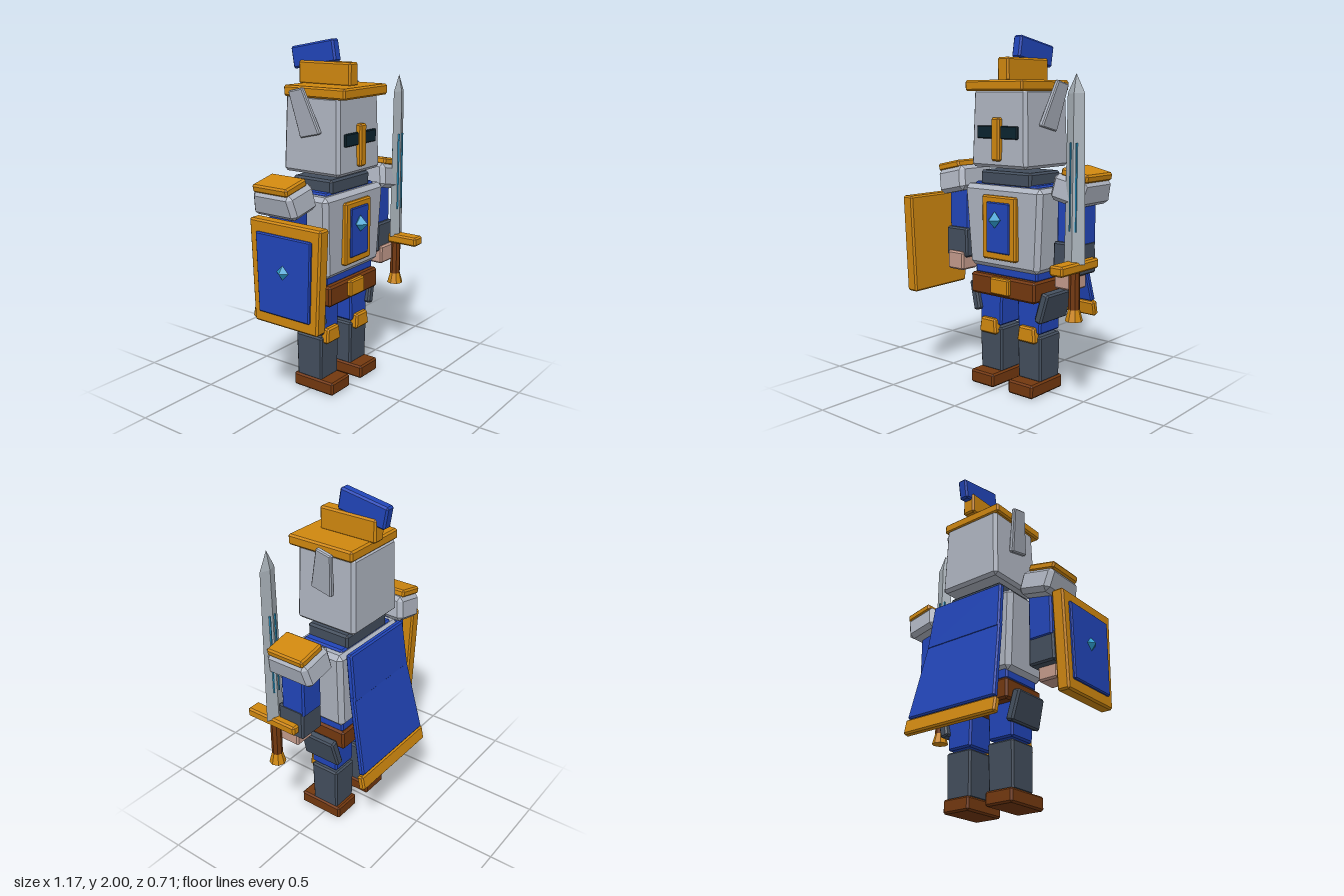
import * as THREE from 'three';
import { ConvexGeometry } from 'three/addons/geometries/ConvexGeometry.js';

const mat = (name, color) => new THREE.MeshStandardMaterial({ name, color });

// Box with chamfered edges; the top may be scaled by tx, tz to taper it.
function chamferBox([w, h, d], bevel, tx, tz) {
  const pts = [];
  for (const x of [-1, 1]) for (const y of [-1, 1]) for (const z of [-1, 1]) {
    const kx = y > 0 ? tx : 1, kz = y > 0 ? tz : 1;
    const cx = w / 2 * kx, cy = h / 2, cz = d / 2 * kz;
    const b = Math.min(bevel, cx * 0.45, cy * 0.45, cz * 0.45);
    pts.push(
      new THREE.Vector3(x * cx, y * (cy - b), z * (cz - b)),
      new THREE.Vector3(x * (cx - b), y * cy, z * (cz - b)),
      new THREE.Vector3(x * (cx - b), y * (cy - b), z * cz));
  }
  return new ConvexGeometry(pts);
}

export function createModel() {
  const gold = mat('gold', 0xcf870f);
  const blue = mat('royal blue', 0x2145b8);
  const steel = mat('steel', 0xaeb4c0);
  const dark = mat('dark iron', 0x434e5d);
  const brown = mat('brown leather', 0x73380f);
  const skin = mat('skin', 0xc39a8b);
  const gem = mat('gem blue', 0x2f9fd0);
  const black = mat('visor black', 0x0b2430);
  const bladeSteel = mat('blade steel', 0xaab3ba);

  const model = new THREE.Group();
  model.name = 'knight';
  const body = new THREE.Group();
  body.name = 'body';
  body.position.x = 0.037;
  model.add(body);

  const addMesh = (parent, name, geo, m, pos, rot = [0, 0, 0]) => {
    const mesh = new THREE.Mesh(geo, m);
    mesh.name = name;
    mesh.position.set(...pos);
    mesh.rotation.set(...rot);
    parent.add(mesh);
    return mesh;
  };
  const box = (parent, name, m, size, pos, { rot, bevel = 0.01, tx = 1, tz = 1 } = {}) =>
    addMesh(parent, name, chamferBox(size, bevel, tx, tz), m, pos, rot);
  const jewel = (parent, name, pos, scale) => {
    const g = new THREE.OctahedronGeometry(1);
    g.scale(...scale);
    return addMesh(parent, name, g, gem, pos);
  };

  // Torso
  box(body, 'tunic', blue, [0.455, 0.53, 0.265], [0, 0.92, -0.01]);
  box(body, 'breastplate', steel, [0.505, 0.47, 0.31], [0, 0.938, -0.005], { bevel: 0.025, tx: 1.11, tz: 1.07 });
  box(body, 'chestFrame', gold, [0.245, 0.36, 0.04], [0, 0.94, 0.162]);
  box(body, 'chestPanel', blue, [0.168, 0.285, 0.025], [0, 0.943, 0.178], { bevel: 0.006 });
  jewel(body, 'chestGem', [-0.01, 0.99, 0.2], [0.043, 0.047, 0.05]);
  box(body, 'belt', brown, [0.47, 0.12, 0.31], [0, 0.6, 0], { bevel: 0.012 });
  box(body, 'buckle', gold, [0.135, 0.095, 0.035], [0, 0.608, 0.162]);
  box(body, 'neckGuard', dark, [0.365, 0.085, 0.27], [0, 1.21, -0.01], { bevel: 0.012 });

  // Helmet
  box(body, 'helmet', steel, [0.4, 0.43, 0.385], [0, 1.49, -0.008], { bevel: 0.018, tx: 0.94, tz: 0.95 });
  box(body, 'visorSlit', black, [0.29, 0.07, 0.03], [0, 1.47, 0.178], { bevel: 0.005 });
  box(body, 'noseGuard', gold, [0.058, 0.235, 0.04], [0, 1.432, 0.19]);
  box(body, 'helmetBrim', gold, [0.41, 0.06, 0.415], [0, 1.722, 0.018]);
  box(body, 'crest', gold, [0.08, 0.13, 0.357], [0, 1.81, -0.036]);
  box(body, 'plume', blue, [0.06, 0.125, 0.3], [0, 1.912, -0.122], { rot: [-0.175, 0, 0] });

  for (const s of [-1, 1]) {
    const side = s > 0 ? 'left' : 'right';
    const part = (name, m, size, [x, y, z], opts = {}) => {
      const [rx, ry, rz] = opts.rot || [0, 0, 0];
      return box(body, side + name, m, size, [s * x, y, z], { ...opts, rot: [rx, s * ry, s * rz] });
    };
    // Helmet fin
    part('HelmetFin', steel, [0.032, 0.265, 0.137], [0.229, 1.615, -0.028], { rot: [-0.23, 0, -0.2], tx: 0.85, tz: 0.72 });
    // Arm
    part('Pauldron', steel, [0.205, 0.145, 0.295], [0.423, 1.177, -0.01], { rot: [0, 0, -0.21], bevel: 0.025, tz: 0.9, tx: 1.04 });
    part('PauldronCap', gold, [0.172, 0.045, 0.237], [0.457, 1.258, -0.012], { rot: [0, 0, -0.21] });
    part('UpperArm', blue, [0.152, 0.27, 0.153], [0.401, 1.0, 0]);
    part('Forearm', dark, [0.168, 0.175, 0.17], [0.4, 0.808, 0.015], { tx: 0.95 });
    part('Hand', skin, [0.125, 0.11, 0.13], [0.4, 0.698, 0.05]);
    // Leg
    part('Thigh', blue, [0.16, 0.25, 0.18], [0.143, 0.475, -0.003], { tx: 1.1 });
    part('HipPlate', dark, [0.05, 0.175, 0.245], [0.247, 0.51, -0.005], { rot: [0, 0, -0.26], tz: 0.93 });
    part('Shin', dark, [0.162, 0.265, 0.175], [0.143, 0.205, -0.005], { tx: 1.05, tz: 1.05 });
    part('Knee', gold, [0.128, 0.09, 0.055], [0.143, 0.345, 0.09], { tx: 0.86, tz: 0.9 });
    part('Boot', brown, [0.175, 0.078, 0.281], [0.143, 0.04, 0.027]);
  }

  // Cape
  box(body, 'upperCape', blue, [0.515, 0.28, 0.04], [0, 1.048, -0.215], { rot: [0.13, 0, 0], tx: 0.95 });
  box(body, 'lowerCape', blue, [0.595, 0.475, 0.036], [0, 0.713, -0.275], { rot: [0.21, 0, 0], tx: 0.865 });
  box(body, 'capeHem', gold, [0.62, 0.088, 0.04], [0, 0.435, -0.33], { rot: [0.2, 0, 0] });

  // Shield, facing the model's right
  const shield = new THREE.Group();
  shield.name = 'shield';
  shield.position.set(-0.508, 0.811, 0.12);
  model.add(shield);
  box(shield, 'shieldFrame', gold, [0.074, 0.568, 0.425], [0, 0, 0], { tz: 1.115 });
  box(shield, 'shieldPanel', blue, [0.03, 0.44, 0.34], [-0.037, 0, 0], { bevel: 0.008, tz: 1.08 });
  jewel(shield, 'shieldGem', [-0.044, 0.027, 0], [0.038, 0.05, 0.05]);

  // Sword
  const sword = new THREE.Group();
  sword.name = 'sword';
  sword.position.set(0.518, 0, 0.125);
  model.add(sword);
  const bladePts = [new THREE.Vector3(0, 1.78, 0)];
  for (const [y, w, d] of [[0.8, 0.067, 0.026], [1.68, 0.054, 0.02]]) {
    for (const s of [-1, 1]) bladePts.push(new THREE.Vector3(s * w, y, 0), new THREE.Vector3(0, y, s * d));
  }
  addMesh(sword, 'blade', new ConvexGeometry(bladePts), bladeSteel, [0, 0, 0]);
  for (const s of [-1, 1]) {
    addMesh(sword, 'bladeInlay', new THREE.BoxGeometry(0.006, 0.46, 0.048), gem, [s * 0.019, 1.2, 0]);
  }
  box(sword, 'crossGuard', gold, [0.086, 0.055, 0.332], [0, 0.783, 0]);
  const turned = (name, rTop, rBottom, y0, y1, m) => {
    const g = new THREE.CylinderGeometry(rTop, rBottom, y1 - y0, 8).toNonIndexed();
    g.computeVertexNormals();
    addMesh(sword, name, g, m, [0, (y0 + y1) / 2, 0]);
  };
  turned('grip', 0.031, 0.031, 0.54, 0.77, brown);
  turned('pommel', 0.031, 0.048, 0.492, 0.555, gold);

  return model;
}
